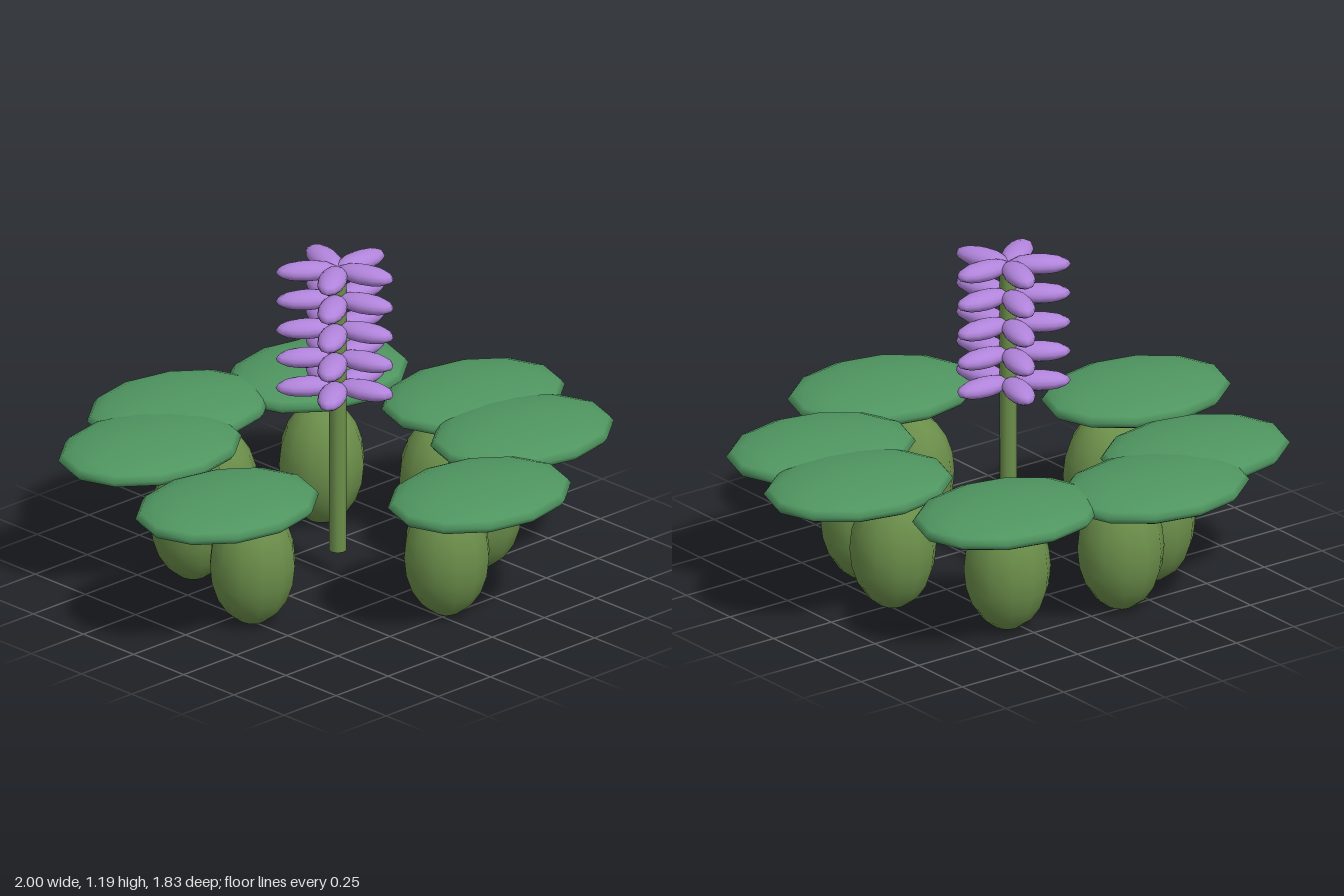
import * as THREE from 'three';

const material = (name, color) => {
  const m = new THREE.MeshStandardMaterial({ color });
  m.name = name;
  return m;
};

export function createModel() {
  const model = new THREE.Group();
  model.name = 'floatingPlant';
  const leafGreen = material('leaf green', 0x4f9560);
  const podGreen = material('olive green', 0x6b8e4a);
  const lilac = material('lilac', 0xb184db);

  const plant = new THREE.Group();
  plant.name = 'plant';
  plant.position.set(-0.01, 0, -0.01);
  model.add(plant);

  const add = (parent, name, geometry, mat, x, y, z) => {
    const mesh = new THREE.Mesh(geometry, mat);
    mesh.name = name;
    mesh.position.set(x, y, z);
    parent.add(mesh);
    return mesh;
  };

  // Ring of flat leaves, each above a swollen float pod
  const leafGeo = new THREE.SphereGeometry(1, 12, 10).scale(0.355, 0.065, 0.277);
  const podGeo = new THREE.SphereGeometry(0.152, 12, 10).scale(1, 1.48, 1);
  for (const degrees of [0, 32.7, 85, 170, 223, 256, 307.5]) {
    const a = THREE.MathUtils.degToRad(degrees);
    const c = Math.cos(a), s = Math.sin(a);
    add(plant, 'leaf', leafGeo, leafGreen, 0.65 * c, 0.485, 0.65 * s);
    add(plant, 'floatPod', podGeo, podGreen, 0.5 * c, 0.225, 0.5 * s);
  }

  // Flower stem
  add(plant, 'stem', new THREE.CylinderGeometry(0.03, 0.03, 1.06, 8), podGreen, 0, 0.63, 0);

  // Five whorls of five petals
  const petalGeo = new THREE.SphereGeometry(1, 12, 8).scale(0.11, 0.034, 0.05);
  for (let row = 0; row < 5; row++) {
    const whorl = new THREE.Group();
    whorl.name = 'petalWhorl';
    whorl.position.y = 0.72 + row * 0.1083;
    plant.add(whorl);
    for (let i = 0; i < 5; i++) {
      const a = (i / 5) * Math.PI * 2;
      const petal = add(whorl, 'petal', petalGeo, lilac, 0.107 * Math.cos(a), 0, 0.107 * Math.sin(a));
      petal.rotation.y = -a;
    }
  }
  return model;
}
